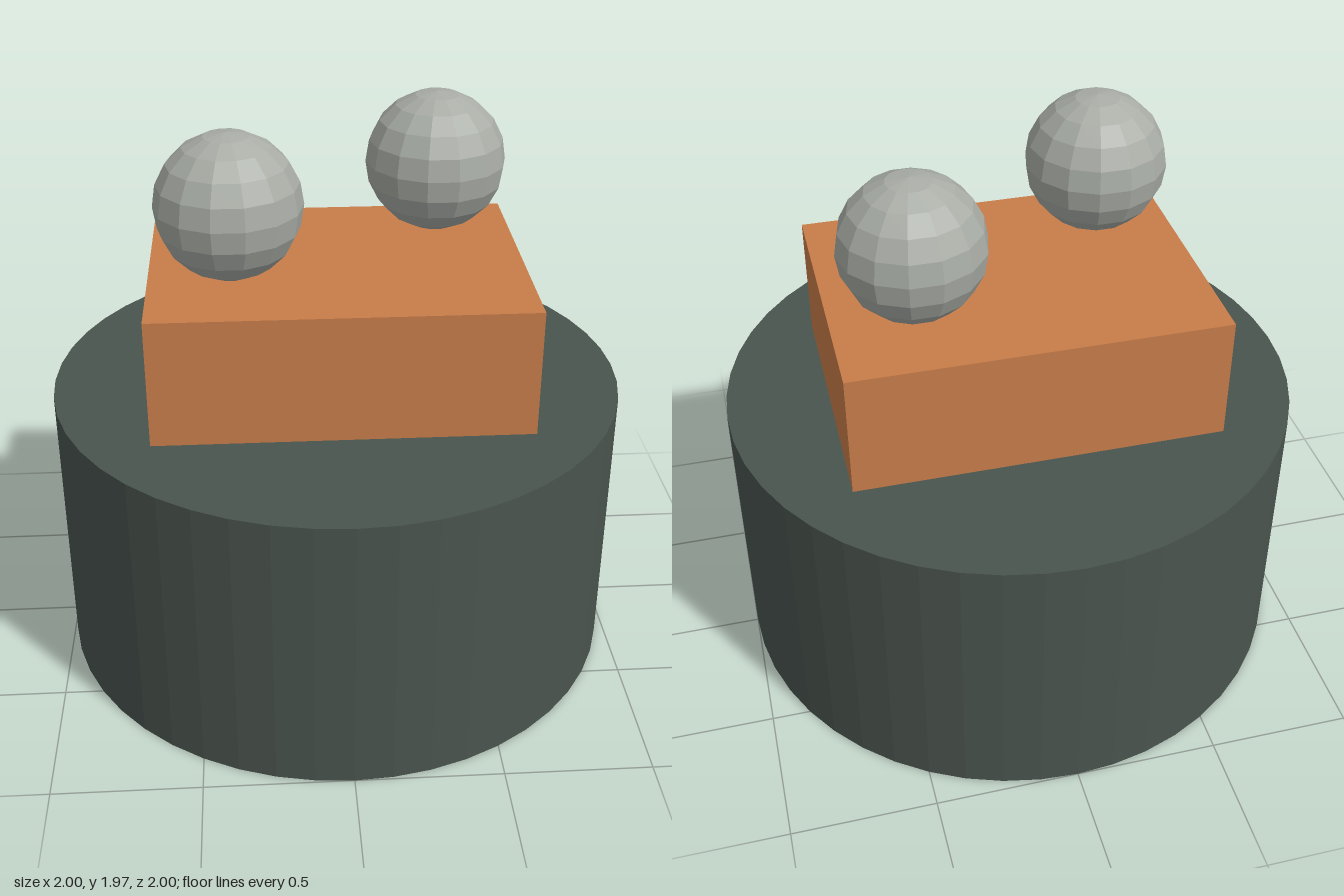
import * as THREE from 'three';

export function createModel() {
  const model = new THREE.Group();
  const material = (name, color) => {
    const m = new THREE.MeshStandardMaterial({ color, flatShading: true });
    m.name = name;
    return m;
  };
  const darkGreen = material('dark green', 0x4a544e);
  const orange = material('orange', 0xc87d4a);
  const paleGrey = material('pale grey', 0xa9ada6);

  const add = (name, geometry, mat, x, y, z) => {
    const mesh = new THREE.Mesh(geometry, mat);
    mesh.name = name;
    mesh.position.set(x, y, z);
    model.add(mesh);
  };

  // Round pedestal with a block resting on it
  add('pedestal', new THREE.CylinderGeometry(1, 1, 1, 48), darkGreen, 0, 0.5, 0);
  add('block', new THREE.BoxGeometry(1.28, 0.445, 0.96), orange, 0, 1.2225, 0);

  // Two faceted balls hovering over opposite corners of the block
  const ball = new THREE.SphereGeometry(0.245, 14, 10);
  for (const side of [-1, 1]) {
    add(side < 0 ? 'rightBall' : 'leftBall', ball, paleGrey, side * 0.36, 1.725, side * -0.2);
  }
  return model;
}
